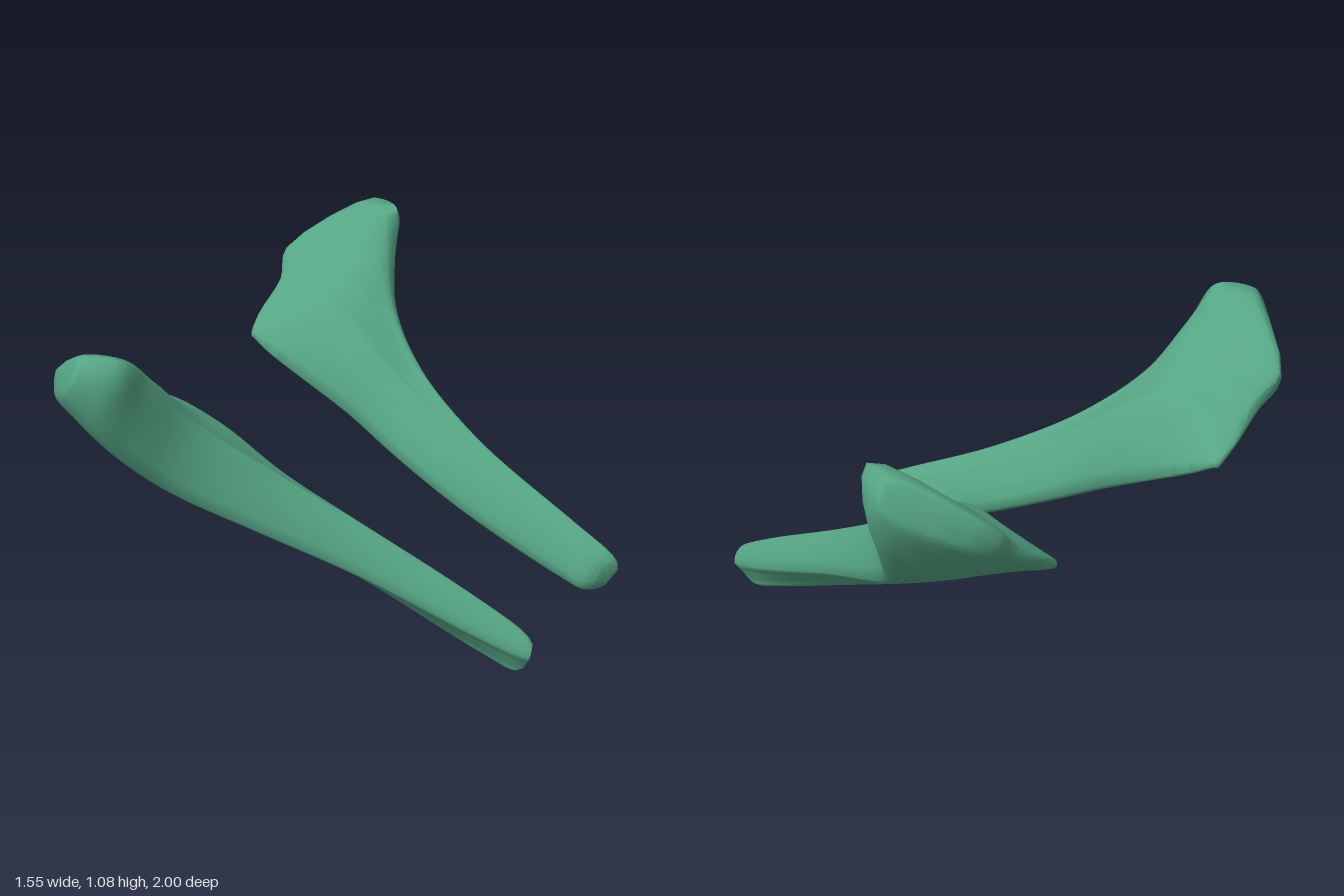
import * as THREE from 'three';
import { toCreasedNormals } from 'three/addons/utils/BufferGeometryUtils.js';

const V = (p) => new THREE.Vector3(...p);
const mix = (a, b, t) => a.clone().lerp(b, t);

// Beam sections, tip first: inner bottom, inner ridge, top, outer ridge, outer bottom
const beam = [
  [[0.68, 0.035, 0.265], [0.715, 0.135, 0.3], [0.75, 0.15, 0.345], [0.75, 0.085, 0.375], [0.7, 0.004, 0.335]],
  [[0.6, 0.06, 0.262], [0.6, 0.2, 0.308], [0.6, 0.235, 0.355], [0.6, 0.135, 0.4], [0.6, 0.033, 0.335]],
  [[0.2, 0.22, 0.285], [0.2, 0.39, 0.345], [0.2, 0.44, 0.415], [0.2, 0.295, 0.475], [0.2, 0.193, 0.345]],
  [[-0.1, 0.36, 0.325], [-0.1, 0.573, 0.425], [-0.1, 0.628, 0.53], [-0.1, 0.445, 0.612], [-0.1, 0.335, 0.395]],
  [[-0.3, 0.46, 0.365], [-0.32, 0.728, 0.467], [-0.28, 0.8, 0.675], [-0.32, 0.59, 0.76], [-0.32, 0.445, 0.425]],
];
// Forked head sections: inner bottom, ridge, groove, plate edge, top, outer ridge, underside, outer bottom
const head = [
  [[-0.5, 0.55, 0.385], [-0.48, 0.803, 0.512], [-0.46, 0.85, 0.595], [-0.43, 0.905, 0.67],
    [-0.355, 0.975, 0.81], [-0.42, 0.725, 0.875], [-0.47, 0.635, 0.69], [-0.5, 0.535, 0.43]],
  [[-0.65, 0.62, 0.4], [-0.6, 0.793, 0.53], [-0.6, 0.845, 0.615], [-0.6, 0.91, 0.69],
    [-0.387, 1.075, 0.9], [-0.48, 0.865, 0.96], [-0.63, 0.71, 0.71], [-0.65, 0.605, 0.43]],
  [[-0.738, 0.66, 0.425], [-0.754, 0.72, 0.505], [-0.736, 0.82, 0.64], [-0.77, 0.905, 0.74],
    [-0.515, 1.08, 0.95], [-0.525, 1.0, 1.0], [-0.735, 0.835, 0.785], [-0.725, 0.643, 0.455]],
];

// Bring every section to the same ten corners and round off both ends
function fullSections() {
  const eight = [
    ...beam.map((row) => {
      const [b, i, t, o, c] = row.map(V);
      return [b, i, mix(i, t, 1 / 3), mix(i, t, 2 / 3), t, o, mix(o, c, 0.3), c];
    }),
    ...head.map((row) => row.map(V)),
  ];
  const ten = eight.map((s) => [...s.slice(0, 7), mix(s[6], s[7], 1 / 3), mix(s[6], s[7], 2 / 3), s[7]]);
  const tip = ten[0];
  const centre = tip.reduce((sum, p) => sum.add(p), new THREE.Vector3()).divideScalar(tip.length);
  const tipEnd = tip.map((p) => mix(p, centre, 0.3).add(V([0.03, -0.005, 0.005])));
  const rim = ten[ten.length - 1];
  const rimEnd = rim.map((p, k) => mix(p, rim[9 - k], 0.28).add(V([-0.012, 0, 0])));
  return [tipEnd, ...ten, rimEnd];
}

// Loft smooth rails through the sections; side = 1 or -1 mirrors in z
function strutGeometry(side) {
  const sections = fullSections();
  const corners = 10, M = 4, N = corners * M, steps = 54;
  const rails = Array.from({ length: corners }, (_, k) =>
    new THREE.CatmullRomCurve3(sections.map((s) => s[k]), false, 'centripetal'));

  const pos = [], index = [];
  for (let s = 0; s <= steps; s++) {
    const ring = new THREE.CatmullRomCurve3(rails.map((r) => r.getPoint(s / steps)), true, 'centripetal');
    for (let k = 0; k < N; k++) {
      const p = ring.getPoint(k / N);
      pos.push(p.x, Math.max(p.y, 0), p.z * side);
    }
  }
  const tri = (a, b, c) => (side > 0 ? index.push(a, b, c) : index.push(a, c, b));
  const at = (s, k) => s * N + ((k + N) % N);

  for (let s = 0; s < steps; s++) {
    for (let k = 0; k < N; k++) {
      tri(at(s, k), at(s + 1, k), at(s, k + 1));
      tri(at(s, k + 1), at(s + 1, k), at(s + 1, k + 1));
    }
  }
  // End caps, zipped between the inner and outer sides
  const h = M / 2;
  for (let j = 0; j < N / 2; j++) {
    for (const s of [0, steps]) {
      const a = at(s, j - h), b = at(s, j + 1 - h), c = at(s, -j - h), d = at(s, -j - 1 - h);
      const put = s === 0 ? tri : (p, q, r) => tri(p, r, q);
      if (j > 0) put(a, b, c);
      if (j < N / 2 - 1) put(b, d, c);
    }
  }
  const geo = new THREE.BufferGeometry();
  geo.setAttribute('position', new THREE.Float32BufferAttribute(pos, 3));
  geo.setIndex(index);
  return toCreasedNormals(geo, 1.2);
}

export function createModel() {
  const group = new THREE.Group();
  group.name = 'forkedStrutPair';
  const green = new THREE.MeshStandardMaterial({ color: 0x55a584 });
  green.name = 'seaGreen';

  for (const [side, name] of [[1, 'frontStrut'], [-1, 'backStrut']]) {
    const mesh = new THREE.Mesh(strutGeometry(side), green);
    mesh.name = name;
    group.add(mesh);
  }
  return group;
}
